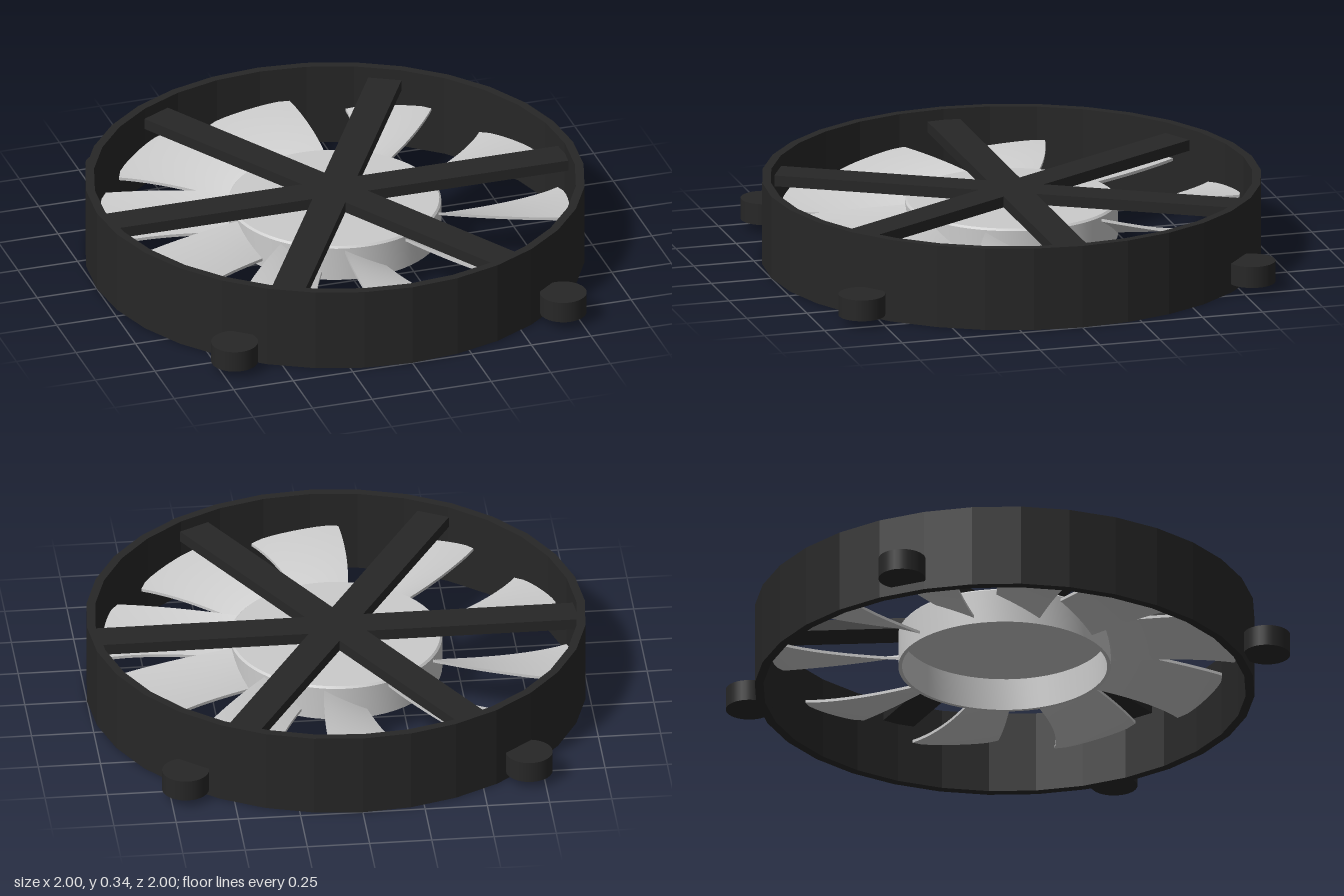
import * as THREE from 'three';
import { toCreasedNormals } from 'three/addons/utils/BufferGeometryUtils.js';

const dark = new THREE.MeshStandardMaterial({ color: 0x272727, flatShading: true });
const darkSmooth = new THREE.MeshStandardMaterial({ color: 0x272727 });
const grey = new THREE.MeshStandardMaterial({ color: 0xcccccc });

function add(parent, name, geometry, material) {
  const mesh = new THREE.Mesh(geometry, material);
  mesh.name = name;
  parent.add(mesh);
  return mesh;
}

const lathe = (points, sides) =>
  new THREE.LatheGeometry(points.map(([r, y]) => new THREE.Vector2(r, y)), sides);

// Quadratic through three values at v = 0, 0.5 and 1
const quad = (a, b, c, v) =>
  a * (1 - v) * (1 - 2 * v) + 4 * b * v * (1 - v) + c * v * (2 * v - 1);

// Swept, twisted blade pointing to -z: a thin box bent by rule
function bladeGeometry() {
  const geometry = new THREE.BoxGeometry(1, 1, 1, 8, 1, 12);
  const p = geometry.attributes.position;
  for (let i = 0; i < p.count; i++) {
    const u = p.getX(i) + 0.5; // 0 low edge, 1 high edge
    const v = 0.5 - p.getZ(i); // 0 root, 1 tip
    const low = quad(11, 11.7, 15.3, v);
    const high = quad(-12.7, -9.6, -6.7, v);
    const angle = THREE.MathUtils.degToRad(THREE.MathUtils.lerp(low, high, u));
    const r = 0.415 + 0.522 * v - 0.015 * v ** 8 * Math.abs(2 * u - 1) ** 6;
    const rise = THREE.MathUtils.lerp(0.095, 0.045, v) * (u - 0.5);
    const y = THREE.MathUtils.lerp(0.178, 0.187, v) + rise + p.getY(i) * 0.012;
    p.setXYZ(i, -r * Math.sin(angle), y, -r * Math.cos(angle));
  }
  return toCreasedNormals(geometry, 0.6);
}

export function createModel() {
  const model = new THREE.Group();
  model.name = 'coolingFan';

  // Outer ring
  const ring = [[1, 0], [1, 0.34], [0.965, 0.34], [0.965, 0], [1, 0]];
  add(model, 'outerRing', lathe(ring, 32), dark);

  // Three crossing bars make the six spokes
  for (let i = 0; i < 3; i++) {
    const bar = add(model, 'spokeBar', new THREE.BoxGeometry(1.94, 0.045, 0.135), dark);
    bar.position.y = 0.2725;
    bar.rotation.y = (i * Math.PI) / 3;
  }

  // Mounting pegs around the ring
  for (const x of [-0.69, 0.69]) {
    for (const z of [-0.797, 0.827]) {
      const peg = add(model, 'mountingPeg', new THREE.CylinderGeometry(0.094, 0.094, 0.087, 32), darkSmooth);
      peg.position.set(x, 0.078, z);
    }
  }

  // Rotor: hollow hub, open underneath, with ten blades
  const rotor = new THREE.Group();
  rotor.name = 'rotor';
  model.add(rotor);
  const hub = [[0, 0.235], [0.41, 0.235], [0.41, 0.1], [0.425, 0.1], [0.425, 0.24], [0.417, 0.248], [0, 0.248]];
  add(rotor, 'hub', toCreasedNormals(lathe(hub, 64), 0.5), grey);

  const blade = bladeGeometry();
  for (let i = 0; i < 10; i++) {
    add(rotor, 'blade', blade, grey).rotation.y = (i * Math.PI) / 5;
  }
  return model;
}
